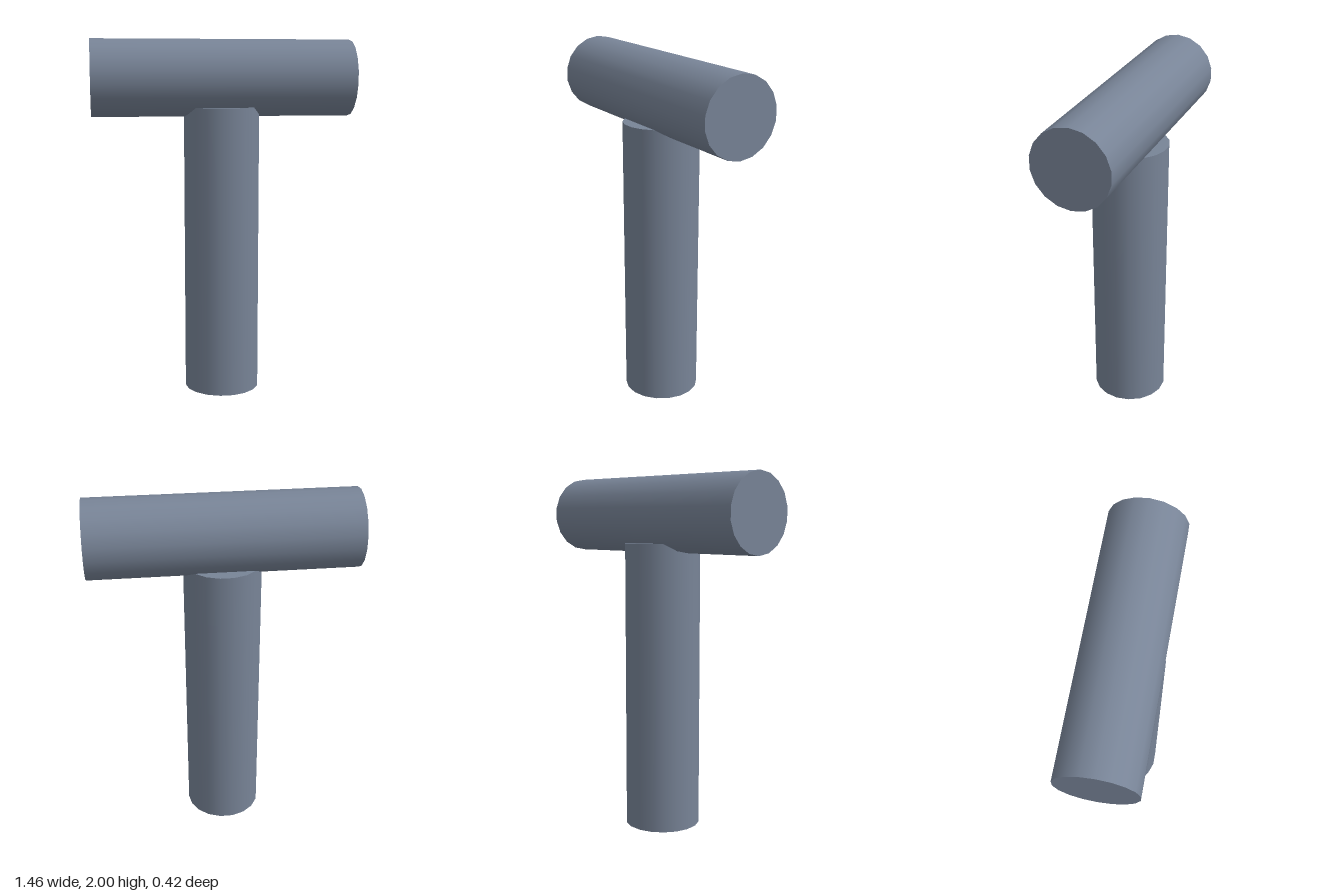
import * as THREE from 'three';

export function createModel() {
  const group = new THREE.Group();
  const material = new THREE.MeshStandardMaterial({ color: 0x788497 });
  const radius = 0.2135;
  const sides = 18;

  // Cylinder with corners on its x axis and flats on its z axis
  const addCylinder = (name, length, y) => {
    const geometry = new THREE.CylinderGeometry(radius, radius, length, sides).rotateY(Math.PI / 2);
    const mesh = new THREE.Mesh(geometry, material);
    mesh.name = name;
    mesh.position.y = y;
    group.add(mesh);
    return mesh;
  };

  // Upright post, its flat top sunk slightly into the bar
  const postHeight = 1.625;
  addCylinder('post', postHeight, postHeight / 2);

  // Horizontal bar across the top
  addCylinder('crossbar', 1.455, 2 - radius).rotation.z = Math.PI / 2;

  return group;
}
